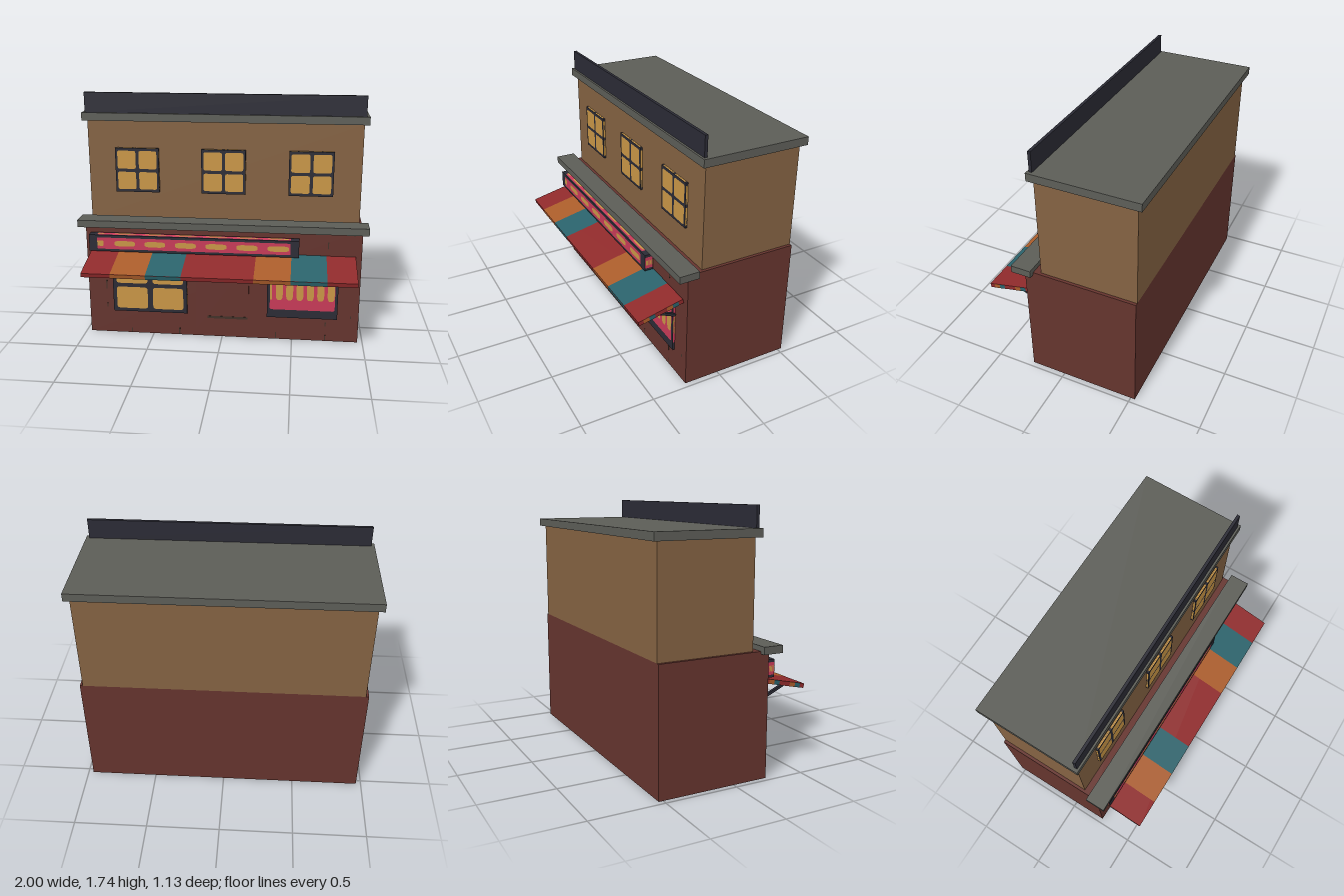
import * as THREE from 'three';

const mat = (name, color) => Object.assign(new THREE.MeshStandardMaterial({ color }), { name });
const M = {
  brown: mat('tan wall', 0x846242),
  brick: mat('dark red wall', 0x65342e),
  grey: mat('grey stone', 0x5c5d57),
  dark: mat('dark frame', 0x2b2b35),
  yellow: mat('warm glass', 0xc99646),
  pink: mat('pink sign', 0xc83a58),
  red: mat('red cloth', 0x8f2a2b),
  orange: mat('orange cloth', 0xaa5c2a),
  teal: mat('teal cloth', 0x2a626b),
  groove: mat('groove', 0x423229),
};

// Box given by its minimum and maximum corners
function block(name, material, x0, x1, y0, y1, z0, z1) {
  const m = new THREE.Mesh(new THREE.BoxGeometry(x1 - x0, y1 - y0, z1 - z0), material);
  m.position.set((x0 + x1) / 2, (y0 + y1) / 2, (z0 + z1) / 2);
  m.name = name;
  return m;
}

// Flat rectangle with corners rounded by the fraction r of its size
function plate(x0, x1, y0, y1, r) {
  const rx = (x1 - x0) * r, ry = (y1 - y0) * r;
  const s = new THREE.Shape();
  s.moveTo(x0 + rx, y0);
  s.lineTo(x1 - rx, y0);
  if (r) s.quadraticCurveTo(x1, y0, x1, y0 + ry);
  s.lineTo(x1, y1 - ry);
  if (r) s.quadraticCurveTo(x1, y1, x1 - rx, y1);
  s.lineTo(x0 + rx, y1);
  if (r) s.quadraticCurveTo(x0, y1, x0, y1 - ry);
  s.lineTo(x0, y0 + ry);
  if (r) s.quadraticCurveTo(x0, y0, x0 + rx, y0);
  return new THREE.ShapeGeometry(s, 5);
}

// Box whose faces all carry one pattern of plates: [material, u0, u1, v0, v1, rounding, layer]
function patternedBox(name, base, w, h, d, pattern) {
  const g = new THREE.Group();
  g.name = name;
  g.add(block(name + 'Body', base, -w / 2, w / 2, -h / 2, h / 2, -d / 2, d / 2));
  const H = Math.PI / 2;
  const faces = [
    [w, h, d, 0, 0], [w, h, d, 0, Math.PI], [d, h, w, 0, H], [d, h, w, 0, -H],
    [w, d, h, -H, 0], [w, d, h, H, 0],
  ];
  for (const [fw, fh, depth, rx, ry] of faces) {
    const face = new THREE.Group();
    face.name = name + 'Face';
    face.rotation.set(rx, ry, 0);
    for (const [material, u0, u1, v0, v1, r, layer] of pattern) {
      const p = new THREE.Mesh(
        plate((u0 - 0.5) * fw, (u1 - 0.5) * fw, (v0 - 0.5) * fh, (v1 - 0.5) * fh, r), material);
      p.position.z = depth / 2 + 0.0012 * layer;
      p.name = name + 'Panel';
      face.add(p);
    }
    g.add(face);
  }
  return g;
}

// Four panes
const panes = [];
for (const [u0, u1] of [[0.05, 0.47], [0.54, 0.95]])
  for (const [v0, v1] of [[0.06, 0.46], [0.53, 0.94]])
    panes.push([M.yellow, u0, u1, v0, v1, 0.12, 1]);

// Pink panel with a row of yellow lozenges
const signPattern = [[M.pink, 0.04, 0.96, 0.15, 0.85, 0.04, 1], [M.yellow, 0.04, 0.07, 0.33, 0.67, 0.15, 2]];
for (let i = 0; i < 6; i++) {
  const c = 0.173 + 0.146 * i;
  signPattern.push([M.yellow, c - 0.05, c + 0.05, 0.33, 0.67, 0.35, 2]);
}

// Cloth stripes between the red parts
const stripes = [
  [M.orange, 0.108, 0.238], [M.teal, 0.238, 0.368],
  [M.orange, 0.63, 0.762], [M.teal, 0.762, 0.892],
].map(([m, u0, u1]) => [m, u0, u1, 0, 1, 0, 1]);

export function createModel() {
  const model = new THREE.Group();
  model.name = 'shopBuilding';

  // Walls, roof, parapet and ledge
  model.add(
    block('groundFloor', M.brick, -0.965, 0.965, 0, 0.84, -0.53, 0.245),
    block('upperFloor', M.brown, -0.945, 0.945, 0.84, 1.545, -0.53, 0.138),
    block('roof', M.grey, -0.977, 0.977, 1.543, 1.597, -0.565, 0.17),
    block('parapet', M.dark, -0.955, 0.955, 1.597, 1.735, 0.136, 0.156),
    block('ledge', M.grey, -1, 1, 0.823, 0.873, 0.185, 0.325),
  );

  // Windows
  for (const x of [-0.603, 0, 0.603]) {
    const win = patternedBox('upperWindow', M.dark, 0.306, 0.312, 0.016, panes);
    win.position.set(x, 1.197, 0.146);
    model.add(win);
  }
  const shopWindow = patternedBox('shopWindow', M.dark, 0.535, 0.41, 0.016, panes);
  shopWindow.position.set(-0.518, 0.38, 0.253);
  const display = patternedBox('displayWindow', M.dark, 0.495, 0.41, 0.016, signPattern);
  display.position.set(0.568, 0.38, 0.253);
  model.add(shopWindow, display);

  // Sign
  const sign = patternedBox('sign', M.dark, 1.46, 0.118, 0.06, signPattern);
  sign.position.set(-0.195, 0.71, 0.29);
  model.add(sign);

  // Awning and its struts
  const awning = patternedBox('awning', M.red, 1.846, 0.03, 0.32, stripes);
  awning.position.set(0, 0.597, 0.407);
  awning.rotation.x = 0.225;
  model.add(awning);
  for (const x of [-0.818, 0, 0.818]) {
    const strut = block('awningStrut', M.dark, -0.01, 0.01, -0.009, 0.009, -0.12, 0.12);
    strut.position.set(x, 0.508, 0.36);
    strut.rotation.x = -0.41;
    model.add(strut);
  }

  // Door with its grooves
  model.add(block('door', M.brick, -0.19, 0.19, 0.045, 0.58, 0.24, 0.253));
  for (const [x0, y] of [[-0.105, 0.152], [-0.105, 0.48]])
    model.add(block('doorGroove', M.groove, x0, 0.185, y - 0.009, y + 0.009, 0.25, 0.2545));

  // Short wall joints: x, y, height
  const joints = [
    [-0.835, 0.37, 0.07], [-0.835, 0.21, 0.03], [-0.66, 0.02, 0.035], [-0.31, 0.03, 0.045],
    [0.385, 0.03, 0.045], [0.735, 0.025, 0.04], [0.735, 0.13, 0.03], [0.91, 0.19, 0.02],
    [0.735, 0.72, 0.05], [0.91, 0.8, 0.02],
  ];
  for (const [x, y, h] of joints)
    model.add(block('wallJoint', M.groove, x - 0.004, x + 0.004, y - h / 2, y + h / 2, 0.243, 0.2465));

  return model;
}
